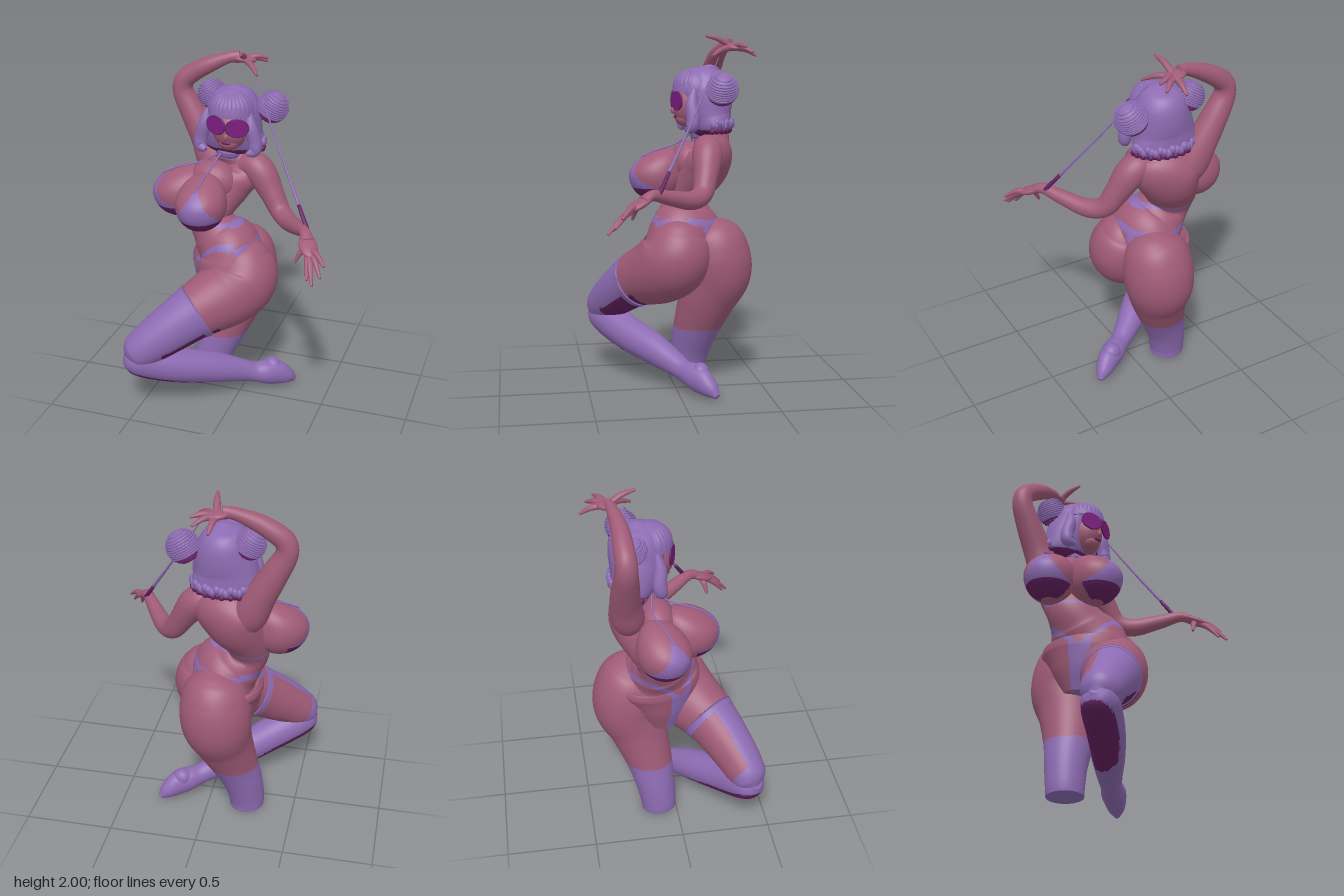
import * as THREE from 'three';

const mat = (name, color, side = THREE.FrontSide) => {
  const m = new THREE.MeshStandardMaterial({ color, side });
  m.name = name;
  return m;
};
const V = (x, y, z) => new THREE.Vector3(x, y, z);

// Splits a geometry's faces into colour groups; rule(centroid) gives a material index
function paint(geo, rule) {
  const idx = geo.index.array, p = geo.attributes.position, lists = [[], [], []];
  for (let i = 0; i < idx.length; i += 3) {
    const c = V(0, 0, 0);
    for (let k = 0; k < 3; k++) c.add(V(0, 0, 0).fromBufferAttribute(p, idx[i + k]));
    lists[rule(c.divideScalar(3))].push(idx[i], idx[i + 1], idx[i + 2]);
  }
  geo.clearGroups();
  geo.setIndex(lists.flat());
  let start = 0;
  lists.forEach((l, i) => { if (l.length) geo.addGroup(start, l.length, i); start += l.length; });
  return geo;
}

// Smooth body through sections [x, y, z, radiusA, radiusB, angle of A in degrees], capped at both ends
function loft(sections, rings = 40, sides = 32) {
  const path = new THREE.CatmullRomCurve3(sections.map(s => V(s[0], s[1], s[2])), false, 'catmullrom');
  const size = new THREE.CatmullRomCurve3(
    sections.map(s => V(s[3], s[4] ?? s[3], (s[5] ?? 0) / 100)), false, 'catmullrom');
  const pos = [], idx = [];
  const ring = t => {
    const o = path.getPoint(t), r = size.getPoint(t), d = path.getTangent(t), a = r.z * 100 * Math.PI / 180;
    const b = V(Math.cos(a), 0, Math.sin(a));
    b.addScaledVector(d, -b.dot(d)).normalize();
    const c = V(0, 0, 0).crossVectors(d, b);
    for (let j = 0; j < sides; j++) {
      const f = j / sides * Math.PI * 2;
      const q = o.clone().addScaledVector(b, Math.cos(f) * r.x).addScaledVector(c, Math.sin(f) * r.y);
      pos.push(q.x, q.y, q.z);
    }
    return o;
  };
  for (let i = 0; i <= rings; i++) ring(i / rings);
  for (let i = 0; i < rings; i++) for (let j = 0; j < sides; j++) {
    const a = i * sides + j, b = i * sides + (j + 1) % sides;
    idx.push(a, b, b + sides, a, b + sides, a + sides);
  }
  for (const t of [0, 1]) {
    const base = pos.length / 3, o = ring(t);
    pos.push(o.x, o.y, o.z);
    for (let j = 0; j < sides; j++) {
      const a = base + j, b = base + (j + 1) % sides;
      idx.push(base + sides, t ? a : b, t ? b : a);
    }
  }
  const g = new THREE.BufferGeometry();
  g.setAttribute('position', new THREE.Float32BufferAttribute(pos, 3));
  g.setIndex(idx);
  g.computeVertexNormals();
  return g;
}

// Unit sphere whose upper half leans back, for a sloping top
function teardrop() {
  const g = new THREE.SphereGeometry(1, 64, 48), p = g.attributes.position;
  for (let i = 0; i < p.count; i++) {
    const y = Math.max(p.getY(i), 0);
    p.setZ(i, p.getZ(i) - .45 * y * y);
  }
  g.computeVertexNormals();
  return g;
}

export function createModel() {
  const root = new THREE.Group();
  const skin = mat('skin', 0xa05b77), lilac = mat('lilac fabric and hair', 0x8d6bb2);
  const plum = mat('dark plum', 0x642060), lens = mat('magenta lens', 0x7c1d80);
  const hairShell = mat('lilac fringe', 0x8d6bb2, THREE.DoubleSide);
  const palette = [skin, lilac, plum];
  const add = (name, geo, material, parent = root) => {
    const m = new THREE.Mesh(geo, material);
    m.name = name;
    parent.add(m);
    return m;
  };
  const ball = (name, [x, y, z], [sx, sy, sz], material, parent, detail = 24) => {
    const m = add(name, new THREE.SphereGeometry(1, detail, detail * .75), material, parent);
    m.position.set(x, y, z);
    m.scale.set(sx, sy, sz);
    return m;
  };
  const tube = (name, pts, r, material) =>
    add(name, new THREE.TubeGeometry(new THREE.CatmullRomCurve3(pts.map(p => V(...p))), 24, r, 8), material);

  // Torso, with the high-cut hip strap, front panel, back string and chest band painted on
  add('torso', paint(loft([
    [-.14, .56, -.07, .10, .10, 60], [-.12, .68, -.07, .18, .16, 60], [-.10, .80, -.07, .25, .195, 60],
    [-.10, .90, -.075, .222, .19, 58], [-.165, .98, -.08, .165, .145, 55], [-.21, 1.05, -.09, .135, .115, 48],
    [-.20, 1.14, -.13, .15, .12, 40], [-.15, 1.25, -.19, .17, .135, 30], [-.11, 1.34, -.22, .185, .12, 20],
    [-.11, 1.40, -.21, .145, .088, 18], [-.12, 1.45, -.18, .068, .068, 18], [-.11, 1.54, -.15, .06, .065, 18],
  ], 140, 72), p => {
    const front = -.86 * (p.x + .1) + .5 * (p.z + .07), across = .5 * (p.x + .1) + .86 * (p.z + .07);
    const h = front > 0 ? Math.min(.955, .8 + .95 * Math.abs(across)) + .1 * across : .935 + .15 * (p.x + .1);
    const band = Math.abs(p.y - h) < .019;
    const panel = front > 0 && p.y < h && Math.abs(across) < .06;
    const string = front < 0 && p.y < h && Math.abs(across) < .02;
    return band || panel || string || Math.abs(p.y - 1.068) < .009 ? 1 : 0;
  }), palette);
  ball('upperChest', [-.19, 1.28, -.1], [.14, .12, .105], skin);

  // Breasts with triangular cups
  for (const [name, x, y, z, dir] of [['rightBreast', -.385, 1.205, -.09, [-.9, -.03, .4]],
    ['leftBreast', -.2, 1.205, .08, [.05, -.03, 1]]]) {
    const m = add(name, paint(teardrop(), p =>
      p.z > .1 && Math.abs(p.x) < .75 * (.8 - p.y) && p.y > -.95 ? (p.y < -.45 ? 2 : 1) : 0), palette);
    m.position.set(x, y, z);
    m.scale.set(.142, .15, .16);
    m.lookAt(x + dir[0], y + dir[1], z + dir[2]);
  }
  tube('leftCupStrap', [[-.2, 1.31, .17], [-.19, 1.345, .09], [-.175, 1.385, -.03], [-.15, 1.445, -.11]], .005, lilac);
  tube('rightCupStrap', [[-.48, 1.31, -.05], [-.4, 1.345, -.08], [-.27, 1.375, -.13], [-.16, 1.44, -.12]], .005, lilac);

  // Standing leg, cut off flat at the ground
  add('standingLeg', paint(loft([
    [-.05, .95, -.17, .06], [-.05, .88, -.2, .155], [-.06, .78, -.235, .195], [-.07, .65, -.25, .197],
    [-.10, .50, -.20, .167], [-.155, .32, -.148, .135], [-.20, .18, -.12, .115], [-.222, .06, -.103, .104],
    [-.225, 0, -.1, .1],
  ], 90, 48), p => p.y < .318 ? 1 : 0), palette);

  // Bent leg: the stocking leaves the outer thigh bare down to the knee
  add('bentThigh', paint(loft([
    [-.01, .96, -.05, .06, .06, 60], [.01, .89, -.03, .15, .15, 60], [.015, .77, .0, .198, .205, 60],
    [-.05, .685, .07, .193, .2, 60], [-.2, .595, .2, .152, .16, 60], [-.35, .485, .3, .127, .135, 60],
    [-.46, .4, .362, .108, .112, 60], [-.51, .36, .385, .085, .085, 60], [-.54, .335, .4, .03, .03, 60],
  ], 110, 56), p => {
    const x = p.x - .03, y = p.y - .7, z = p.z - .02;
    const along = -.74 * x - .475 * y + .475 * z, side = .54 * x + .84 * z;
    const up = -.4 * x + .878 * y + .257 * z;
    if (along < (up < -.05 ? .24 : .3) || (side < -.02 && along < .68)) return 0;
    return up < -.03 && along < .6 ? 2 : 1;
  }), palette);
  add('garterBand', loft([[-.188, .602, .19, .16, .167, 60], [-.218, .582, .212, .153, .16, 60]], 4, 48), lilac);
  add('bentShin', paint(loft([
    [-.55, .365, .41, .03, .03, 60], [-.515, .345, .392, .08, .083, 60], [-.45, .315, .35, .1, .103, 60],
    [-.3, .255, .25, .098, .102, 60], [-.13, .195, .115, .087, .092, 60], [.0, .14, .01, .067, .07, 60],
    [.07, .112, -.04, .057, .06, 60], [.13, .1, -.08, .067, .073, 60], [.19, .083, -.12, .06, .075, 60],
    [.245, .05, -.16, .045, .05, 60], [.283, .018, -.188, .016, .016, 60],
  ], 90, 36), p => p.x < -.16 && p.y < .195 - .42 * (p.x + .3) ? 2 : 1), palette);
  ball('heel', [.165, .13, -.115], [.055, .053, .05], lilac);

  // Arms
  add('raisedArm', loft([
    [-.2, 1.28, -.24, .075, .08, 90], [-.25, 1.36, -.26, .09, .095, 90], [-.3, 1.47, -.275, .082, .085, 90],
    [-.375, 1.61, -.28, .072, .072, 90], [-.43, 1.72, -.28, .06, .06, 90], [-.425, 1.79, -.28, .056, .056, 90],
    [-.37, 1.84, -.285, .053, .053, 90], [-.28, 1.89, -.29, .046, .046, 90], [-.17, 1.935, -.31, .032, .032, 90],
    [-.11, 1.94, -.325, .026, .036, 90],
  ], 60), skin);
  add('loweredArm', loft([
    [-.05, 1.36, -.18, .06, .06, 95], [.02, 1.37, -.175, .08, .08, 97], [.075, 1.33, -.165, .084, .084, 100],
    [.14, 1.23, -.145, .068, .068, 105], [.2, 1.14, -.115, .057, .057, 118], [.27, 1.115, -.04, .051, .051, 135],
    [.36, 1.145, .09, .04, .04, 143], [.42, 1.168, .18, .031, .03, 145], [.455, 1.145, .24, .04, .022, 145],
  ], 60), skin);

  // Hands: a palm and five tapering fingers
  const hand = (name, wrist, palm, tips, lift) => {
    const g = new THREE.Group();
    g.name = name;
    root.add(g);
    const c = V(...palm), d = c.clone().sub(V(...wrist));
    const m = ball('palm', palm, [.05, .022, d.length() * .85], skin, g);
    m.lookAt(c.clone().add(d));
    for (const tip of tips) {
      const t = V(...tip), s = c.clone().lerp(t, .12), mid = c.clone().lerp(t, .55);
      mid.y += lift;
      const a = Math.atan2(t.z - c.z, t.x - c.x) * 180 / Math.PI + 90;
      add('finger', loft([[s.x, s.y, s.z, .02, .017, a], [mid.x, mid.y, mid.z, .017, .015, a],
        [t.x, t.y, t.z, .007, .007, a]], 10, 10), skin, g);
    }
  };
  hand('raisedHand', [-.16, 1.94, -.31], [-.085, 1.93, -.335],
    [[-.07, 1.88, -.47], [.02, 1.9, -.43], [.035, 1.93, -.39], [.03, 1.88, -.2], [-.06, 1.99, -.18]], .012);
  hand('loweredHand', [.42, 1.17, .18], [.462, 1.13, .26],
    [[.575, 1.07, .36], [.565, 1.02, .395], [.53, .985, .43], [.495, 1.0, .4], [.4, 1.04, .29]], .015);

  // Head, face and choker
  ball('face', [-.09, 1.6, -.12], [.1, .122, .122], skin);
  ball('jaw', [-.088, 1.535, -.075], [.062, .05, .065], skin);
  ball('nose', [-.08, 1.58, .002], [.013, .02, .014], skin);
  ball('lips', [-.083, 1.543, -.011], [.026, .009, .008], plum);
  add('choker', loft([[-.123, 1.438, -.183, .078, .078], [-.118, 1.475, -.17, .072, .076]], 3), lilac);

  // Goggles wrapping around the face
  const goggles = new THREE.Group();
  goggles.name = 'goggles';
  goggles.position.set(-.08, 1.638, -.008);
  goggles.rotation.z = -.06;
  root.add(goggles);
  for (const s of [-1, 1]) {
    const side = new THREE.Group();
    side.name = 'eyepiece';
    side.position.set(s * .06, 0, 0);
    side.rotation.y = s * .35;
    side.scale.set(1.2, .98, 1);
    goggles.add(side);
    add('lens', new THREE.CylinderGeometry(.05, .05, .009, 32), lens, side).rotation.x = Math.PI / 2;
    add('rim', new THREE.TorusGeometry(.05, .005, 8, 32), plum, side);
  }

  // Bobbed hair, open at the throat, with a dark underside
  add('bob', paint(loft([
    [-.11, 1.46, -.23, .13, .09], [-.11, 1.49, -.22, .18, .115], [-.11, 1.56, -.2, .172, .133],
    [-.1, 1.65, -.19, .157, .148], [-.095, 1.73, -.185, .138, .142], [-.09, 1.79, -.18, .095, .1],
    [-.09, 1.825, -.18, .012, .012],
  ], 50, 56), p => p.y < 1.475 ? 2 : 1), palette);
  const fringe = add('fringe', new THREE.SphereGeometry(1, 40, 16, 0, Math.PI * 2, 0, 1.6), hairShell);
  fringe.position.set(-.09, 1.69, -.125);
  fringe.scale.set(.128, .125, .128);
  for (let i = -5; i <= 5; i++) {
    const a = i * .23, pts = [0, .33, .66, 1].map(k => {
      const e = 1.5 * (1 - k) - .05, r = .125 * Math.cos(e);
      return [-.09 + Math.sin(a) * r, 1.69 + Math.sin(e) * .122, -.125 + Math.cos(a) * r];
    });
    add('fringeStrand', loft(pts.map((p, k) => [...p, [.003, .01, .015, .012][k], [.003, .006, .007, .005][k],
      -a * 180 / Math.PI]), 14, 8), lilac);
  }
  for (const s of [-1, 1]) add('sideLock', loft([
    [-.1 + s * .12, 1.7, -.1, .015], [-.1 + s * .135, 1.62, -.085, .034], [-.1 + s * .155, 1.54, -.09, .038],
    [-.1 + s * .155, 1.49, -.08, .034], [-.1 + s * .12, 1.475, -.055, .012],
  ], 24, 16), lilac);
  // Curled ends around the back of the bob, dark underneath
  for (let i = 0; i <= 26; i++) {
    const a = Math.PI * (.95 + i / 26 * 1.1);
    const x = -.11 + Math.cos(a) * .175, z = -.2 - Math.abs(Math.sin(a)) * .13;
    ball('curl', [x, 1.497 + (i % 3) * .008, z], [.021, .025, .021], lilac, root, 12).rotation.z = i % 2 ? .4 : -.4;
    ball('underCurl', [x, 1.474 - (i % 2) * .006, z + .01], [.018, .018, .018], plum, root, 12);
  }

  // Hair buns wound with strands
  for (const [name, x, y, z, r, tilt] of [['leftBun', .11, 1.7, -.24, .086, -.5], ['rightBun', -.24, 1.745, -.235, .08, .5]]) {
    const g = new THREE.Group();
    g.name = name;
    g.position.set(x, y, z);
    g.rotation.z = tilt;
    root.add(g);
    ball('bunCore', [0, 0, 0], [r, r, r], lilac, g);
    for (let i = -6; i <= 6; i++) {
      const h = i * r / 7;
      const t = add('bunStrand', new THREE.TorusGeometry(Math.sqrt(r * r - h * h), .005, 6, 28),
        i < -3 ? plum : lilac, g);
      t.rotation.x = Math.PI / 2;
      t.position.y = h;
    }
  }

  // Cord stretched between the hands
  add('cord', loft([[.0, 1.87, -.24, .002], [.21, 1.52, -.05, .006], [.36, 1.28, .09, .009]], 12, 8), lilac);
  add('cordEnd', loft([[.36, 1.28, .09, .01], [.425, 1.175, .15, .013]], 4, 8), plum);
  return root;
}
